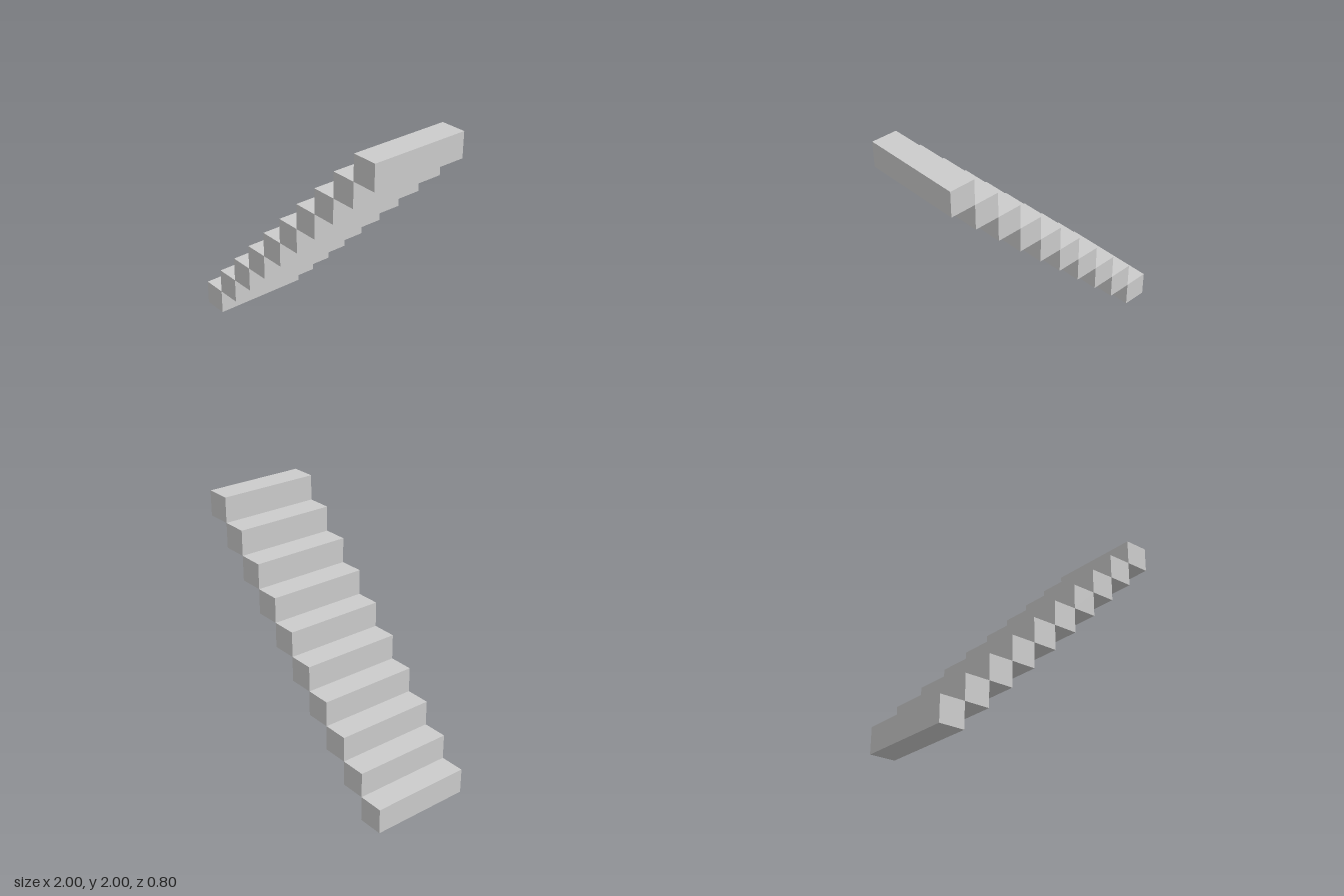
import * as THREE from 'three';

const STEPS = 10;
const SIZE = 0.2; // rise and run of each step
const WIDTH = 0.8;

export function createModel() {
  const staircase = new THREE.Group();
  staircase.name = 'staircase';

  const material = new THREE.MeshStandardMaterial({ color: 0xcccccc });
  const geometry = new THREE.BoxGeometry(SIZE, SIZE, WIDTH);

  // Solid block steps meeting edge to edge, climbing towards +x
  for (let i = 0; i < STEPS; i++) {
    const step = new THREE.Mesh(geometry, material);
    step.name = `step${i + 1}`;
    step.position.set((i + 0.5 - STEPS / 2) * SIZE, (i + 0.5) * SIZE, 0);
    staircase.add(step);
  }
  return staircase;
}
